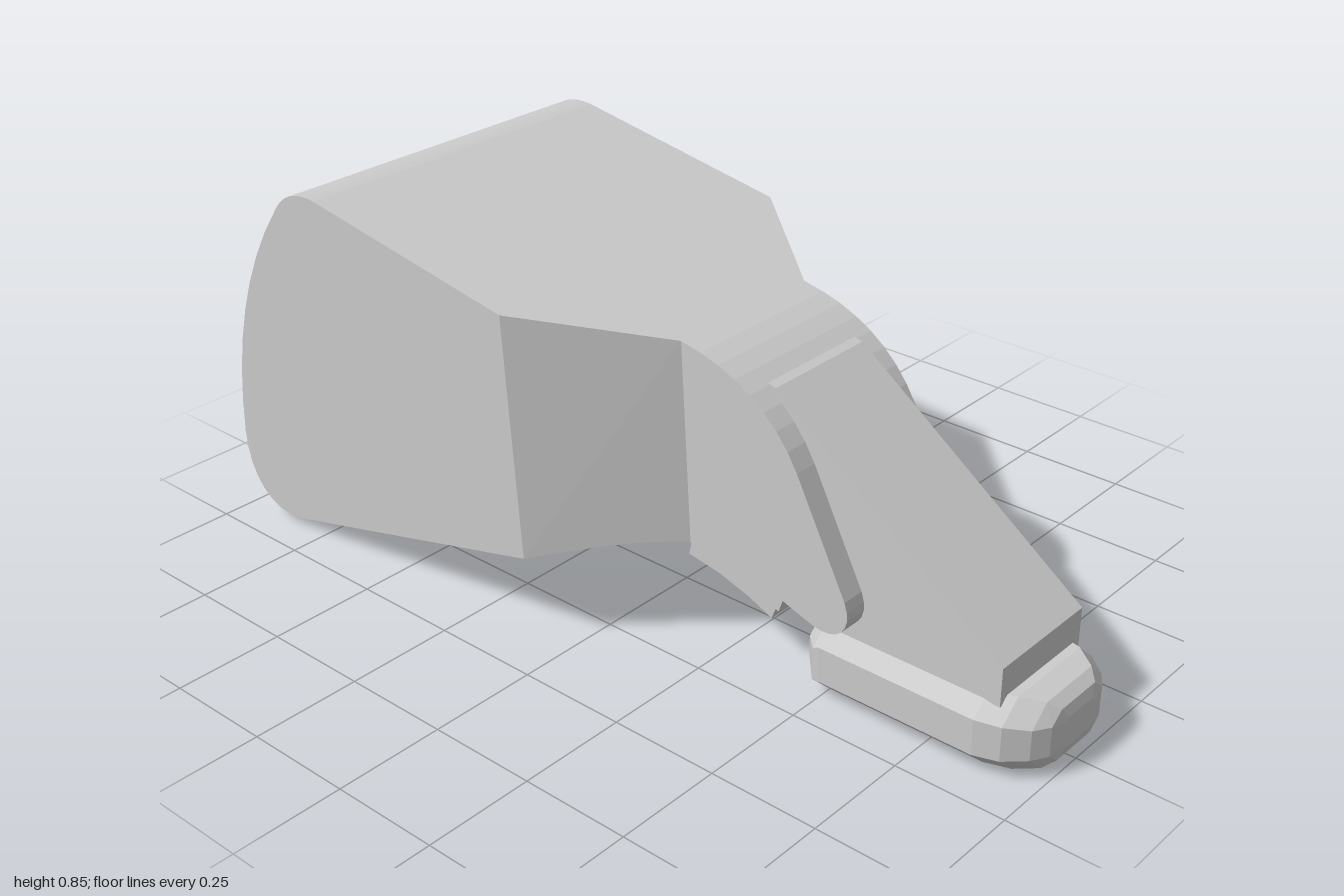
import * as THREE from 'three';

const material = new THREE.MeshStandardMaterial({ color: 0xcccccc, flatShading: true, side: THREE.DoubleSide });

function addMesh(group, name, geometry) {
  const mesh = new THREE.Mesh(geometry, material);
  mesh.name = name;
  group.add(mesh);
  return mesh;
}

// Side profile extruded symmetrically across z
function slab(shape, halfWidth) {
  const g = new THREE.ExtrudeGeometry(shape, { depth: 2 * halfWidth, bevelEnabled: false, curveSegments: 8 });
  return g.translate(0, 0, -halfWidth);
}

const polygon = (pts) => new THREE.Shape(pts.map(([x, y]) => new THREE.Vector2(x, y)));

const WIDE = 0.42, NARROW = 0.195;

// Broad rear housing with a bowed back and rounded corners
function rearShape() {
  const s = new THREE.Shape();
  s.moveTo(-0.08, 0.21);
  s.lineTo(-0.12, 0.75);
  s.lineTo(-0.67, 0.845);
  s.bezierCurveTo(-0.73, 0.853, -0.775, 0.835, -0.805, 0.79);
  s.bezierCurveTo(-0.93, 0.63, -1.0, 0.42, -1.0, 0.19);
  s.bezierCurveTo(-1.0, 0.075, -0.93, -0.005, -0.81, 0.025);
  s.closePath();
  return s;
}

// Shoulder narrowing from the housing to the neck
function shoulderGeometry() {
  const g = slab(polygon([
    [-0.08, 0.21], [-0.02, 0.225], [0.05, 0.242], [0.115, 0.251], [0.18, 0.253],
    [0.155, 0.7], [-0.12, 0.75],
  ]), 1);
  const p = g.attributes.position;
  for (let i = 0; i < p.count; i++) {
    const x = p.getX(i), y = p.getY(i);
    const start = -0.08 - 0.04 * (y - 0.21) / 0.54;
    const end = 0.18 - 0.025 * (y - 0.253) / 0.447;
    const t = THREE.MathUtils.clamp((x - start) / (end - start), 0, 1);
    p.setZ(i, Math.sign(p.getZ(i)) * THREE.MathUtils.lerp(WIDE, NARROW, t));
  }
  g.computeVertexNormals();
  return g;
}

// Curved neck ending in a rounded lower tip
function neckShape() {
  const s = new THREE.Shape();
  s.moveTo(0.155, 0.7);
  s.lineTo(0.18, 0.253);
  s.bezierCurveTo(0.32, 0.26, 0.4, 0.215, 0.5, 0.186);
  s.bezierCurveTo(0.56, 0.17, 0.6, 0.21, 0.575, 0.27);
  s.lineTo(0.45, 0.51);
  s.bezierCurveTo(0.39, 0.62, 0.29, 0.68, 0.155, 0.7);
  return s;
}

// Faceted foot lofted through octagonal sections: [x, halfWidth, bottom, top, chamferZ, chamferY]
function footGeometry() {
  const sections = [
    [0.445, 0.13, 0.04, 0.125, 0.02, 0.02],
    [0.485, 0.172, 0, 0.155, 0.045, 0.04],
    [0.5, 0.174, 0, 0.165, 0.045, 0.042],
    [0.87, 0.174, 0, 0.165, 0.045, 0.042],
    [0.925, 0.16, 0, 0.168, 0.05, 0.045],
    [0.97, 0.125, 0.007, 0.16, 0.045, 0.042],
    [0.992, 0.09, 0.025, 0.143, 0.03, 0.025],
    [1.0, 0.05, 0.05, 0.12, 0.01, 0.01],
  ];
  const verts = [], index = [], n = 8;
  for (const [x, w, b, t, cz, cy] of sections) {
    const half = [[b, w - cz], [b + cy, w], [t - cy, w], [t, w - cz]];
    for (const [y, z] of half) verts.push(x, y, z);
    for (const [y, z] of half.reverse()) verts.push(x, y, -z);
  }
  for (let s = 0; s < sections.length - 1; s++) {
    for (let i = 0; i < n; i++) {
      const a = s * n + i, b = s * n + (i + 1) % n;
      index.push(a, a + n, b, b, a + n, b + n);
    }
  }
  // End caps
  const last = (sections.length - 1) * n;
  for (let i = 1; i < n - 1; i++) {
    index.push(0, i, i + 1, last, last + i + 1, last + i);
  }
  const g = new THREE.BufferGeometry();
  g.setAttribute('position', new THREE.Float32BufferAttribute(verts, 3));
  g.setIndex(index);
  const flat = g.toNonIndexed();
  flat.computeVertexNormals();
  return flat;
}

export function createModel() {
  const group = new THREE.Group();
  group.name = 'model';

  addMesh(group, 'rearHousing', slab(rearShape(), WIDE));
  addMesh(group, 'shoulder', shoulderGeometry());
  addMesh(group, 'neck', slab(neckShape(), NARROW));

  // Sloping nose wedge between neck and foot
  addMesh(group, 'noseWedge', slab(polygon([
    [0.33, 0.645], [0.35, 0.64], [0.905, 0.237], [0.905, 0.15], [0.475, 0.15], [0.39, 0.225], [0.33, 0.4],
  ]), 0.14));

  // Stepped bracket beneath the neck
  addMesh(group, 'upperBracket', slab(polygon([
    [0.115, 0.235], [0.21, 0.217], [0.3, 0.19], [0.39, 0.157], [0.41, 0.215], [0.38, 0.24], [0.12, 0.25],
  ]), 0.165));
  addMesh(group, 'lowerBracket', slab(polygon([
    [0.12, 0.17], [0.2, 0.157], [0.28, 0.133], [0.345, 0.105], [0.368, 0.165], [0.3, 0.2], [0.135, 0.24],
  ]), 0.13));

  addMesh(group, 'foot', footGeometry());
  return group;
}
